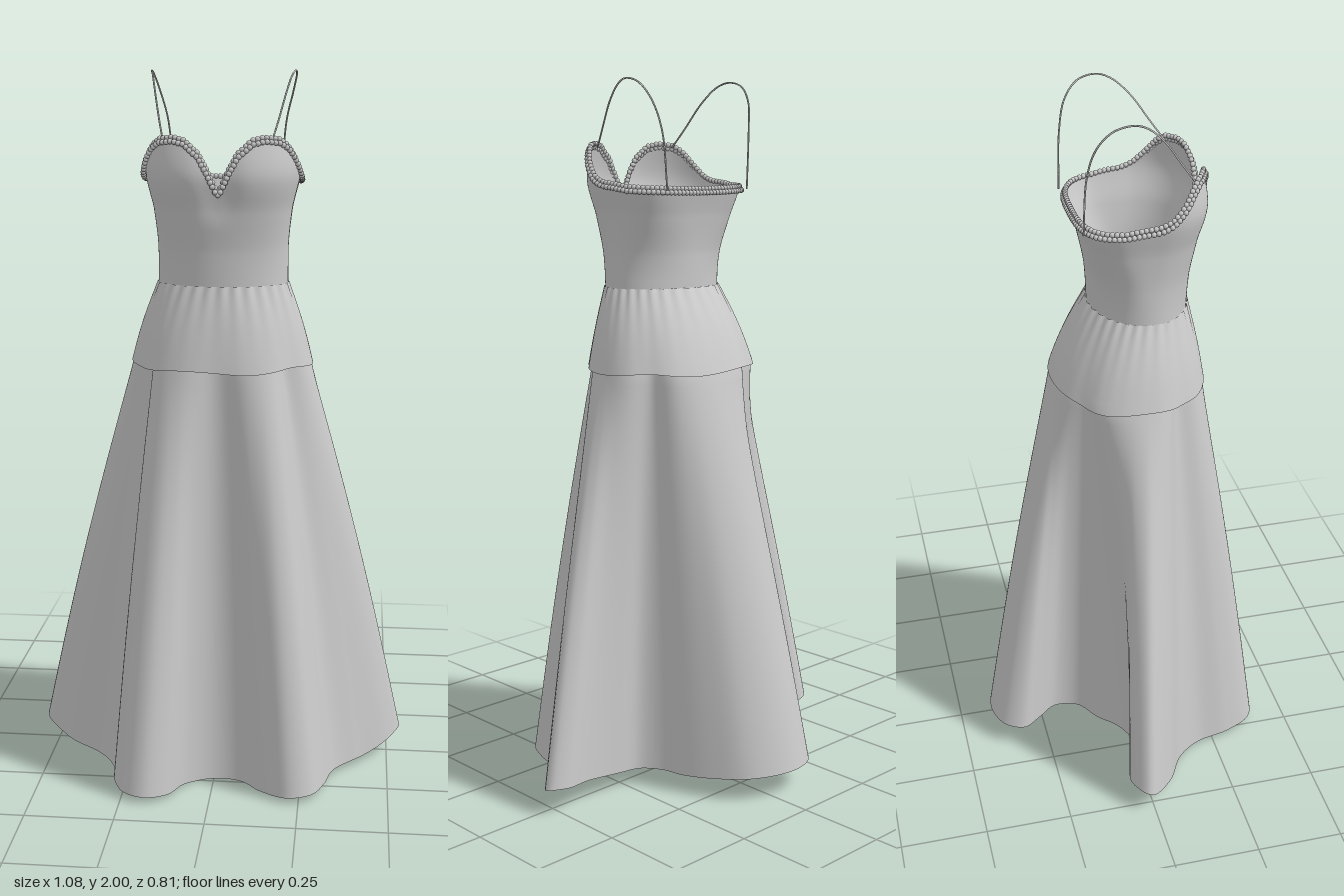
import * as THREE from 'three';
import { mergeGeometries } from 'three/addons/utils/BufferGeometryUtils.js';

const cloth = new THREE.MeshStandardMaterial({ color: 0xcccccc, side: THREE.DoubleSide });
const V = (x, y, z) => new THREE.Vector3(x, y, z);
const COLS = 288, WAIST = 1.43, HIP = 1.2;
const CX = 0.012; // the body sits slightly off the centre of the skirt
const { lerp, smoothstep } = THREE.MathUtils;
const signedPow = (v, n) => Math.sign(v) * Math.abs(v) ** n;

// Smooth surface, closed around its columns: point(col, v), v from 0 (bottom) to 1 (top)
function loft(name, rows, point) {
  const pos = [], idx = [];
  for (let r = 0; r <= rows; r++)
    for (let c = 0; c < COLS; c++) pos.push(...point(c, r / rows).toArray());
  for (let r = 0; r < rows; r++)
    for (let c = 0; c < COLS; c++) {
      const d = (c + 1) % COLS, a = r * COLS, b = a + COLS;
      idx.push(a + c, a + d, b + d, a + c, b + d, b + c);
    }
  const g = new THREE.BufferGeometry();
  g.setAttribute('position', new THREE.Float32BufferAttribute(pos, 3));
  g.setIndex(idx);
  g.computeVertexNormals();
  const m = new THREE.Mesh(g, cloth);
  m.name = name;
  return m;
}

// Hem outline seen from above: five deep folds, from the front centre towards +x
const hem = new THREE.CatmullRomCurve3([
  [0, 0.235], [0.08, 0.245], [0.14, 0.31], [0.22, 0.365], [0.285, 0.345], [0.32, 0.27], [0.345, 0.175],
  [0.42, 0.1], [0.51, 0.02], [0.538, -0.03], [0.49, -0.06], [0.39, -0.04], [0.29, -0.04], [0.22, -0.05],
  [0.175, -0.11], [0.165, -0.18], [0.13, -0.27], [0.08, -0.35], [0, -0.4], [-0.08, -0.41], [-0.15, -0.38],
  [-0.172, -0.325], [-0.13, -0.27], [-0.08, -0.21], [-0.09, -0.14], [-0.16, -0.09], [-0.22, -0.03],
  [-0.29, 0], [-0.38, -0.035], [-0.48, -0.06], [-0.538, -0.015], [-0.46, 0.065], [-0.35, 0.13],
  [-0.3, 0.2], [-0.28, 0.3], [-0.24, 0.38], [-0.18, 0.402], [-0.12, 0.365], [-0.08, 0.28],
].map(([x, z]) => V(x, 0, z)), true).getSpacedPoints(COLS);

// How far each column lies in a valley between two folds (angles in degrees)
const valleys = [0, 54, 126, 218, 301, 360];
const valley = c => valleys.reduce((sum, a) => sum + Math.exp(-(((c / COLS * 360 - a) / 13) ** 2)), 0);

// Skirt surface at a given column and fraction f: 0 waist, 1 hem;
// tuck draws the valleys in at the hip, puff lifts the whole surface
const hipF = (WAIST - HIP) / WAIST;
function skirtPoint(c, f, tuck, puff = 0) {
  const th = c / COLS * Math.PI * 2, s = Math.sin(th), k = Math.cos(th), h = hem[c];
  const spread = Math.hypot(h.x, h.z - 0.05);
  const hemY = 0.03 * smoothstep(spread, 0.2, 0.55) + 0.048 * smoothstep(-h.z, -0.1, 0.06);
  const p = V(CX + 0.18 * s, WAIST, 0.065 + 0.137 * k);
  const hip = V(CX / 2 + 0.252 * signedPow(s, 0.92), HIP, 0.036 + 0.212 * signedPow(k, 0.92));
  const pull = tuck * valley(c);
  hip.x -= pull * s;
  hip.z -= pull * k;
  if (f < hipF) {
    const t = f / hipF, out = t + 0.08 * Math.sin(Math.PI * t);
    p.set(lerp(p.x, hip.x, out), lerp(WAIST, HIP, t), lerp(p.z, hip.z, out));
  } else {
    const t = (f - hipF) / (1 - hipF), out = t + 0.04 * Math.sin(Math.PI * t);
    p.set(lerp(hip.x, h.x, out), lerp(HIP, hemY, t), lerp(hip.z, h.z, out));
  }
  // small gathers below the waist
  const lift = puff + 0.0025 * Math.sin(30 * th + Math.sin(3 * th)) * Math.exp(-f * 22);
  p.x += s * lift;
  p.z += k * lift;
  return p;
}

// Bodice cross-section: half width, front z and back z at even heights
const Y0 = 1.42, Y1 = 1.84;
const bodyProfile = new THREE.CatmullRomCurve3([
  V(0.18, 0.2, -0.07), V(0.18, 0.206, -0.074), V(0.19, 0.222, -0.092),
  V(0.212, 0.244, -0.12), V(0.208, 0.224, -0.13)]);
function bodyPoint(th, y, out = 0) {
  const q = bodyProfile.getPoint(THREE.MathUtils.clamp((y - Y0) / (Y1 - Y0), 0, 1));
  const s = Math.sin(th), k = Math.cos(th), mid = (q.y + q.z) / 2;
  // round at the waist, squarer towards the top, with a flat back
  const n = lerp(1, lerp(0.6, 0.8, smoothstep(k, -0.3, 0.3)), smoothstep(y, 1.45, 1.68));
  // shallow valley between the cups
  const dip = k > 0 ? 0.012 * Math.exp(-((s / 0.18) ** 2)) * smoothstep(y, 1.58, 1.7) : 0;
  return V(CX + q.x * signedPow(s, n) + out * s, y,
    mid + (q.y - q.z) / 2 * signedPow(k, n) + out * k - dip);
}

// Sweetheart neckline height by angle from the front centre
const neck = [[0, 1.685], [5, 1.742], [10, 1.782], [20, 1.815], [30, 1.823], [45, 1.818], [55, 1.802],
  [63, 1.78], [72, 1.753], [80, 1.732], [90, 1.716], [105, 1.706], [180, 1.7]];
function neckY(th) {
  let d = th * 180 / Math.PI;
  if (d > 180) d = 360 - d;
  const i = Math.max(1, neck.findIndex(n => n[0] >= d));
  const [a, b] = [neck[i - 1], neck[i]];
  return lerp(a[1], b[1], (d - a[0]) / (b[0] - a[0]));
}

// One row of beads following the neckline
function beadRow(out, dy, count) {
  const pts = [];
  for (let i = 0; i < 144; i++) {
    const th = i / 144 * Math.PI * 2;
    pts.push(bodyPoint(th, neckY(th), out).add(V(0, dy, 0)));
  }
  return new THREE.CatmullRomCurve3(pts, true).getSpacedPoints(count).slice(0, count)
    .map(p => new THREE.SphereGeometry(0.0075, 8, 6).translate(p.x, p.y, p.z));
}

export function createModel() {
  const model = new THREE.Group();
  model.name = 'dress';

  model.add(loft('skirt', 60, (c, v) => skirtPoint(c, 1 - v, 0.035)));
  // outer hip panel, bridging the valleys of the skirt below it
  model.add(loft('hipPanel', 16, (c, v) => {
    const f = (1 - v) * (hipF + 0.003 * Math.sin(c / COLS * Math.PI * 10));
    return skirtPoint(c, f, 0.01, 0.001 + 0.003 * (1 - v));
  }));
  model.add(loft('bodice', 32, (c, v) => {
    const th = c / COLS * Math.PI * 2;
    return bodyPoint(th, lerp(Y0, neckY(th), v));
  }));

  // beaded trim in two staggered rows
  const beads = new THREE.Mesh(
    mergeGeometries([...beadRow(0.006, -0.007, 120), ...beadRow(0, 0.004, 118)]),
    new THREE.MeshStandardMaterial({ color: 0xcccccc }));
  beads.name = 'neckTrim';
  model.add(beads);

  // thin shoulder straps
  for (const side of [1, -1]) {
    const path = new THREE.CatmullRomCurve3([
      [0.145, 1.815, 0.18], [0.16, 1.87, 0.14], [0.177, 1.94, 0.09], [0.19, 1.985, 0.04], [0.198, 1.9975, 0],
      [0.198, 1.985, -0.05], [0.187, 1.94, -0.088], [0.168, 1.86, -0.108], [0.155, 1.7, -0.115],
    ].map(([x, y, z]) => V(CX / 2 + side * x, y, z)));
    const strap = new THREE.Mesh(new THREE.TubeGeometry(path, 60, 0.0025, 6), cloth);
    strap.name = side > 0 ? 'leftStrap' : 'rightStrap';
    model.add(strap);
  }
  return model;
}
